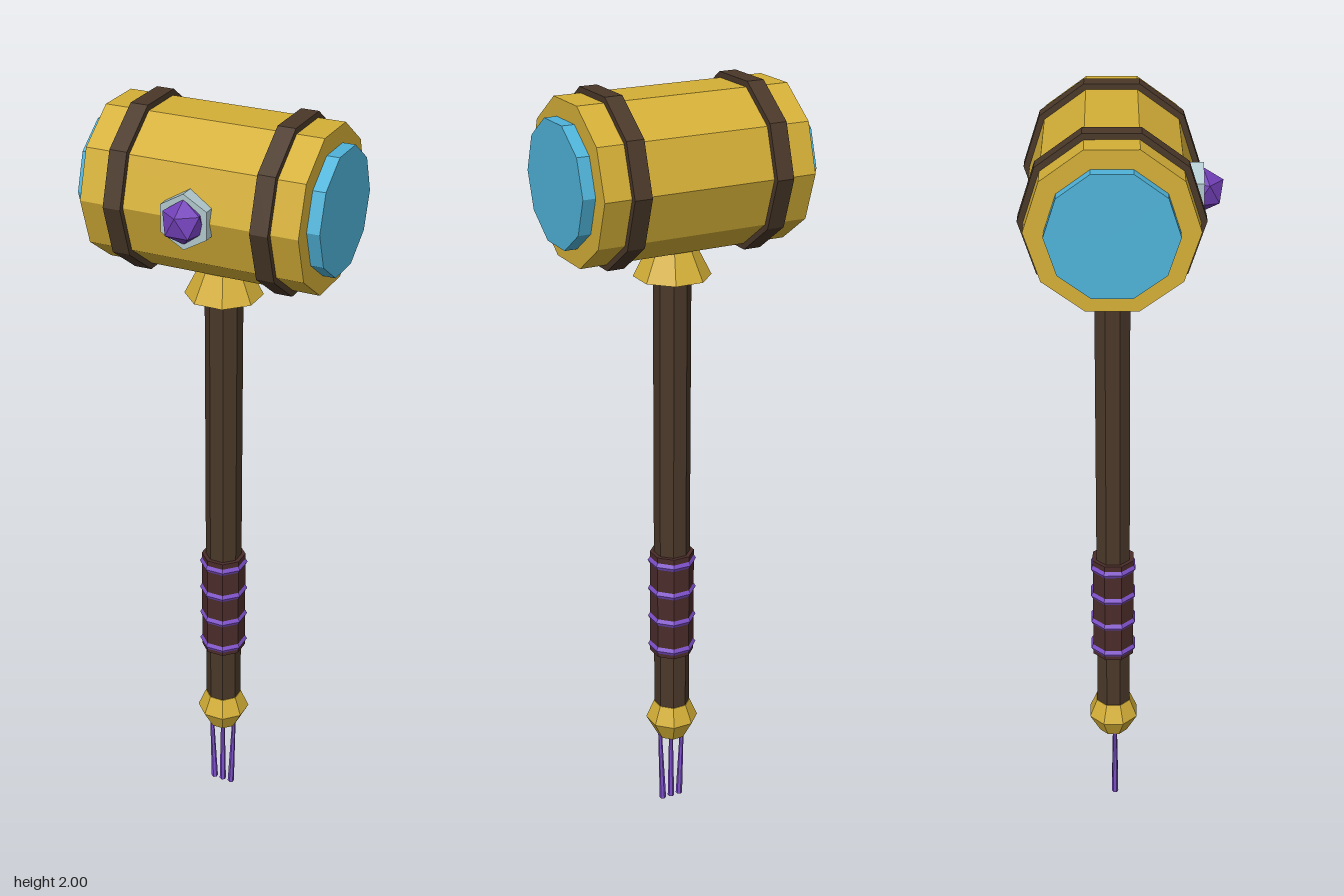
import * as THREE from 'three';

const mat = (name, color) => {
  const m = new THREE.MeshStandardMaterial({ color, flatShading: true });
  m.name = name;
  return m;
};

export function createModel() {
  const gold = mat('gold', 0xd4af37);
  const wood = mat('darkWood', 0x4a3829);
  const leather = mat('gripLeather', 0x4a2c2a);
  const blue = mat('iceBlue', 0x4fb3d9);
  const silver = mat('paleSilver', 0xb0c8cc);
  const purple = mat('purple', 0x7d4fc9);
  const gemPurple = mat('gemPurple', 0x7240b8);

  const group = new THREE.Group();
  const axisZ = -0.0245, headY = 1.795;

  const add = (name, geometry, material, x, y, z) => {
    const mesh = new THREE.Mesh(geometry, material);
    mesh.name = name;
    mesh.position.set(x, y, z);
    group.add(mesh);
    return mesh;
  };

  // Ten-sided drum lying along x
  const drum = (name, r, length, material, x) =>
    add(name, new THREE.CylinderGeometry(r, r, length, 10).rotateZ(Math.PI / 2), material, x, headY, axisZ);

  // Eight-sided shaft piece with a flat side to the front; r is the half width across flats
  const shaft = (name, rTop, rBottom, y0, y1, material) => {
    const k = 1 / Math.cos(Math.PI / 8);
    const g = new THREE.CylinderGeometry(rTop * k, rBottom * k, y1 - y0, 8).rotateY(Math.PI / 8);
    return add(name, g, material, 0, (y0 + y1) / 2, axisZ);
  };

  // Hammer head
  drum('head', 0.2015, 0.556, gold, 0);
  for (const side of [-1, 1]) {
    drum(side > 0 ? 'leftBand' : 'rightBand', 0.2165, 0.045, wood, side * 0.187);
    drum(side > 0 ? 'leftStrikingFace' : 'rightStrikingFace', 0.1545, 0.05, blue, side * 0.285);
  }

  // Gem in its hexagonal mount
  add('gemMount', new THREE.CylinderGeometry(0.068, 0.068, 0.052, 6).rotateX(Math.PI / 2).rotateZ(Math.PI),
    silver, 0, headY, 0.166);
  const gem = new THREE.IcosahedronGeometry(0.055, 0).rotateX(-Math.atan((1 + Math.sqrt(5)) / 2));
  add('gem', gem, gemPurple, 0, headY, 0.19);

  // Collar, handle and grip
  shaft('collar', 0.05, 0.09, 1.53, 1.615, gold);
  shaft('handle', 0.044, 0.044, 0.29, 1.56, wood);
  shaft('grip', 0.054, 0.054, 0.475, 0.772, leather);
  [0.495, 0.58, 0.663, 0.747].forEach((y, i) => {
    const ring = new THREE.TorusGeometry(0.051, 0.013, 6, 8).rotateX(Math.PI / 2).rotateY(Math.PI / 8);
    add('gripRing' + (i + 1), ring, purple, 0, y, axisZ);
  });

  // Faceted pommel
  const pommel = [[0, 0.205], [0.04, 0.21], [0.07, 0.265], [0.049, 0.315], [0, 0.315]]
    .map(([r, y]) => new THREE.Vector2(r, y));
  add('pommel', new THREE.LatheGeometry(pommel, 8).rotateY(Math.PI / 8), gold, 0, 0, axisZ);

  // Three tassel strands drawing together toward the ground
  for (const side of [-1, 0, 1]) {
    const strand = add('tassel' + (side + 2), new THREE.CylinderGeometry(0.005, 0.009, 0.225, 6),
      purple, side * 0.03, 0.1125, axisZ + 0.004);
    strand.rotation.z = -side * 0.04;
  }

  return group;
}
